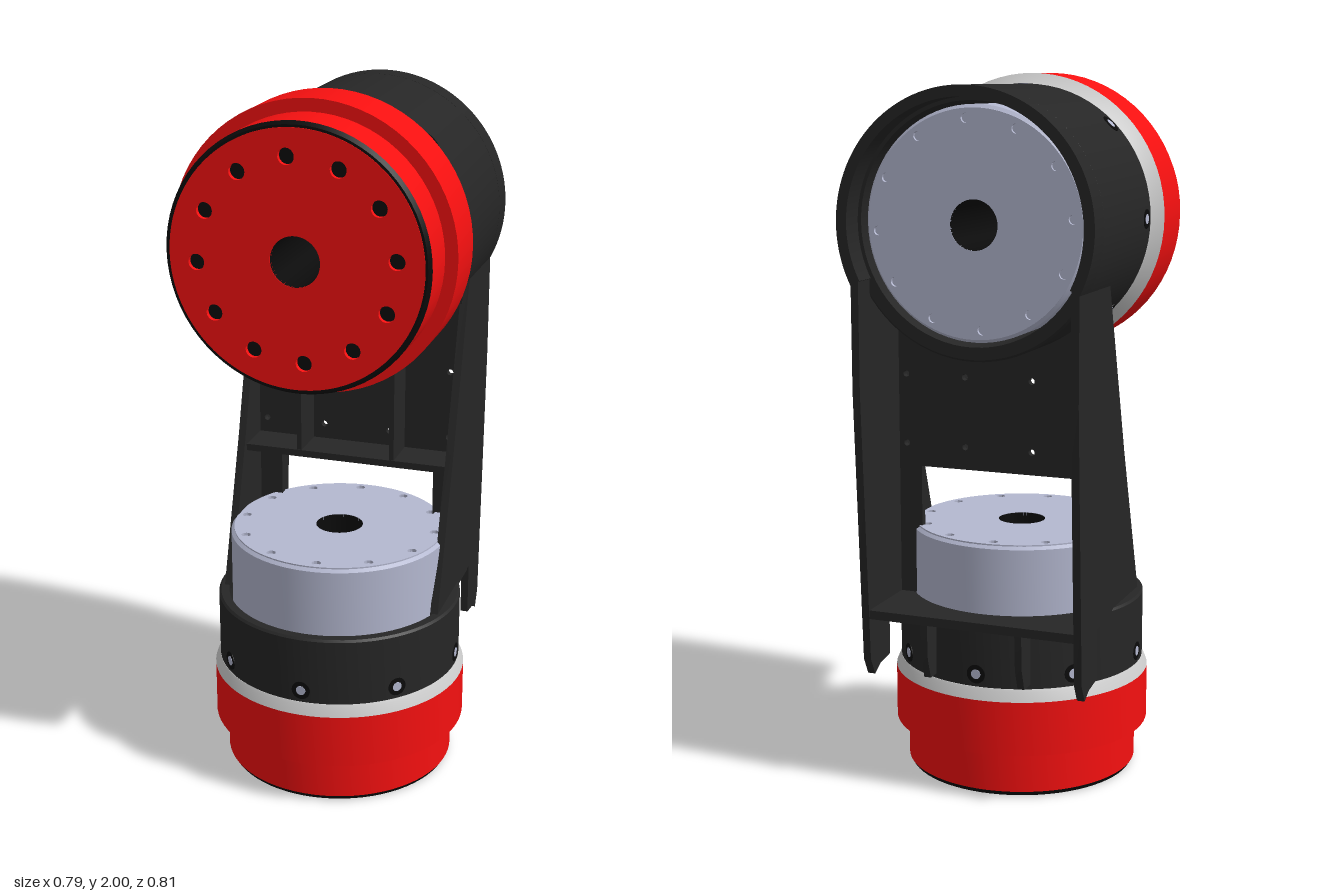
import * as THREE from 'three';
import { toCreasedNormals } from 'three/addons/utils/BufferGeometryUtils.js';

const mat = (color) => new THREE.MeshStandardMaterial({ color, side: THREE.DoubleSide });
const RED = mat(0xf51010), BLACK = mat(0x262626), DARK = mat(0x0b0b0b), SILVER = mat(0xb4b8d0), GREY = mat(0xcccccc);
const V = (x, y) => new THREE.Vector2(x, y);
const BORE = 0.068;

function add(parent, name, geometry, material, x = 0, y = 0, z = 0) {
  const mesh = new THREE.Mesh(geometry, material);
  mesh.name = name;
  mesh.position.set(x, y, z);
  parent.add(mesh);
  return mesh;
}

const lathe = (pts) => toCreasedNormals(new THREE.LatheGeometry(pts.map((p) => V(...p)), 72), 0.5);
const extrude = (shape, depth) =>
  toCreasedNormals(new THREE.ExtrudeGeometry(shape, { depth, bevelEnabled: false, curveSegments: 48 }), 0.5);

function circleHole(shape, x, y, r) {
  const hole = new THREE.Path();
  hole.absarc(x, y, r, 0, Math.PI * 2, true);
  shape.holes.push(hole);
}

// Round plate with a centre bore and a ring of twelve holes
function drilledPlate(radius, holeRing, holeRadius, depth) {
  const shape = new THREE.Shape();
  shape.absarc(0, 0, radius, 0, Math.PI * 2);
  circleHole(shape, 0, 0, BORE);
  for (let i = 0; i < 12; i++) {
    const a = 0.08 + (i * Math.PI) / 6;
    circleHole(shape, holeRing * Math.cos(a), holeRing * Math.sin(a), holeRadius);
  }
  return extrude(shape, depth);
}

// Joint along +y, output flange at y = 0 and motor end at y = 0.725
function joint(name, rFace, rRing, rHousing, housingEnd) {
  const g = new THREE.Group();
  g.name = name;
  const plate = drilledPlate(rFace - 0.015, rFace * 0.755, rFace * 0.061, 0.015);
  plate.rotateX(Math.PI / 2);
  add(g, 'flangePlate', plate, RED, 0, 0.015, 0);
  add(g, 'flangeSeal', lathe([[BORE, 0.014], [rFace - 0.016, 0.014], [rFace - 0.015, 0.002], [rFace - 0.008, 0.002], [rFace, 0.015]]), DARK);
  add(g, 'flangeBody', lathe([[rFace, 0.015], [rFace, 0.136], [rRing, 0.136], [rRing, 0.292]]), RED);
  add(g, 'sealRing', lathe([[rRing, 0.292], [rHousing + 0.004, 0.318], [rHousing, 0.325], [rHousing - 0.04, 0.325]]), GREY);
  // Motor can with drilled end
  add(g, 'motorCan', lathe([[0.315, 0.325], [0.315, 0.713], [0.305, 0.722], [0.305, 0.716], [BORE, 0.716]]), SILVER);
  const end = drilledPlate(0.306, 0.28, 0.013, 0.01);
  end.rotateX(-Math.PI / 2);
  add(g, 'motorEnd', end, SILVER, 0, 0.715, 0);
  add(g, 'bore', new THREE.CylinderGeometry(BORE, BORE, 0.722, 40, 1, true), DARK, 0, 0.363, 0);
  // Housing shell
  const rIn = 0.325, r = rHousing;
  add(g, 'housing', lathe([[rIn, 0.326], [r, 0.326], [r, housingEnd - 0.006], [r - 0.006, housingEnd], [rIn, housingEnd], [rIn, 0.326]]), BLACK);
  // Radial bolts around the housing
  for (let i = 0; i < 8; i++) {
    const bolt = new THREE.Group();
    bolt.name = 'housingBolt';
    bolt.rotation.y = (i * Math.PI) / 4;
    const recess = new THREE.CylinderGeometry(0.027, 0.027, 0.02, 20).rotateX(Math.PI / 2);
    const head = new THREE.CylinderGeometry(0.014, 0.014, 0.02, 16).rotateX(Math.PI / 2);
    add(bolt, 'recess', recess, DARK, 0, 0.362, r - 0.009);
    add(bolt, 'boltHead', head, SILVER, 0, 0.362, r - 0.008);
    g.add(bolt);
  }
  return g;
}

export function createModel() {
  const model = new THREE.Group();
  model.name = 'robotArmSegment';
  const CY = 1.605;

  const lower = joint('lowerJoint', 0.335, 0.37, 0.355, 0.525);
  lower.position.z = 0.035;
  model.add(lower);

  const upper = joint('upperJoint', 0.36, 0.395, 0.365, 0.735);
  upper.rotation.x = -Math.PI / 2;
  upper.position.set(0, CY, 0.405);
  model.add(upper);

  // Rear hood: rim over the upper part of the housing
  const hood = new THREE.Shape();
  const a0 = -0.47, a1 = Math.PI + 0.47;
  hood.absarc(0, 0, 0.365, a0, a1, false);
  hood.absarc(0, 0, 0.335, a1, a0, true);
  add(model, 'rearHood', extrude(hood, 0.075), BLACK, 0, CY, -0.4);

  const bracket = new THREE.Group();
  bracket.name = 'bracket';
  model.add(bracket);

  // Side walls, outlined in (z, y)
  const wall = new THREE.Shape([
    V(0.135, 0.515), V(-0.01, 0.96), V(-0.15, 1.44), V(-0.16, 1.46), V(-0.4, 1.46), V(-0.4, 1.15),
    V(-0.36, 0.38), V(-0.335, 0.33), V(-0.3, 0.35), V(-0.235, 0.36), V(-0.235, 0.515),
  ]);
  for (const s of [-1, 1]) {
    const geo = extrude(wall, 0.022);
    geo.rotateY(-Math.PI / 2); // shape x becomes z, depth becomes -x
    add(bracket, 'sideWall', geo, BLACK, s > 0 ? 0.325 : -0.303, 0, 0);
  }

  // Cross web with window, curved upper edge and small holes
  const web = new THREE.Shape();
  web.moveTo(-0.31, 0.525);
  web.lineTo(-0.235, 0.525);
  web.lineTo(-0.235, 0.9);
  web.lineTo(0.235, 0.9);
  web.lineTo(0.235, 0.525);
  web.lineTo(0.31, 0.525);
  const h = Math.acos(0.31 / 0.35);
  web.absarc(0, CY, 0.35, -h, -Math.PI + h, true);
  for (const x of [-0.28, -0.1, 0.1, 0.28])
    for (const y of [0.965, 1.165]) circleHole(web, x, y, 0.009);
  add(bracket, 'crossWeb', extrude(web, 0.02), BLACK, 0, 0, -0.15);

  // Stiffening ribs and ledge in front of the web
  add(bracket, 'webLedge', new THREE.BoxGeometry(0.61, 0.02, 0.125), BLACK, 0, 0.91, -0.075);
  for (const x of [-0.14, 0.14])
    add(bracket, 'webRib', new THREE.BoxGeometry(0.014, 0.37, 0.12), BLACK, x, 1.085, -0.075);

  // Rear shelf, notched around the motor, with gussets below
  const shelf = new THREE.Shape();
  shelf.moveTo(-0.32, 0.365);
  shelf.lineTo(0.32, 0.365);
  shelf.lineTo(0.32, 0.04);
  const k = Math.acos(0.3 / 0.318);
  shelf.absarc(0, -0.035, 0.318, k, Math.PI - k, false);
  shelf.lineTo(-0.32, 0.04);
  const shelfGeo = extrude(shelf, 0.025);
  shelfGeo.rotateX(-Math.PI / 2);
  add(bracket, 'rearShelf', shelfGeo, BLACK, 0, 0.5, 0);

  const gusset = new THREE.Shape([V(-0.2, 0.51), V(-0.36, 0.51), V(-0.355, 0.4), V(-0.335, 0.34), V(-0.2, 0.34)]);
  for (const x of [-0.14, 0.14]) {
    const geo = extrude(gusset, 0.02);
    geo.rotateY(-Math.PI / 2);
    add(bracket, 'shelfGusset', geo, BLACK, x + 0.01, 0, 0);
  }
  return model;
}
